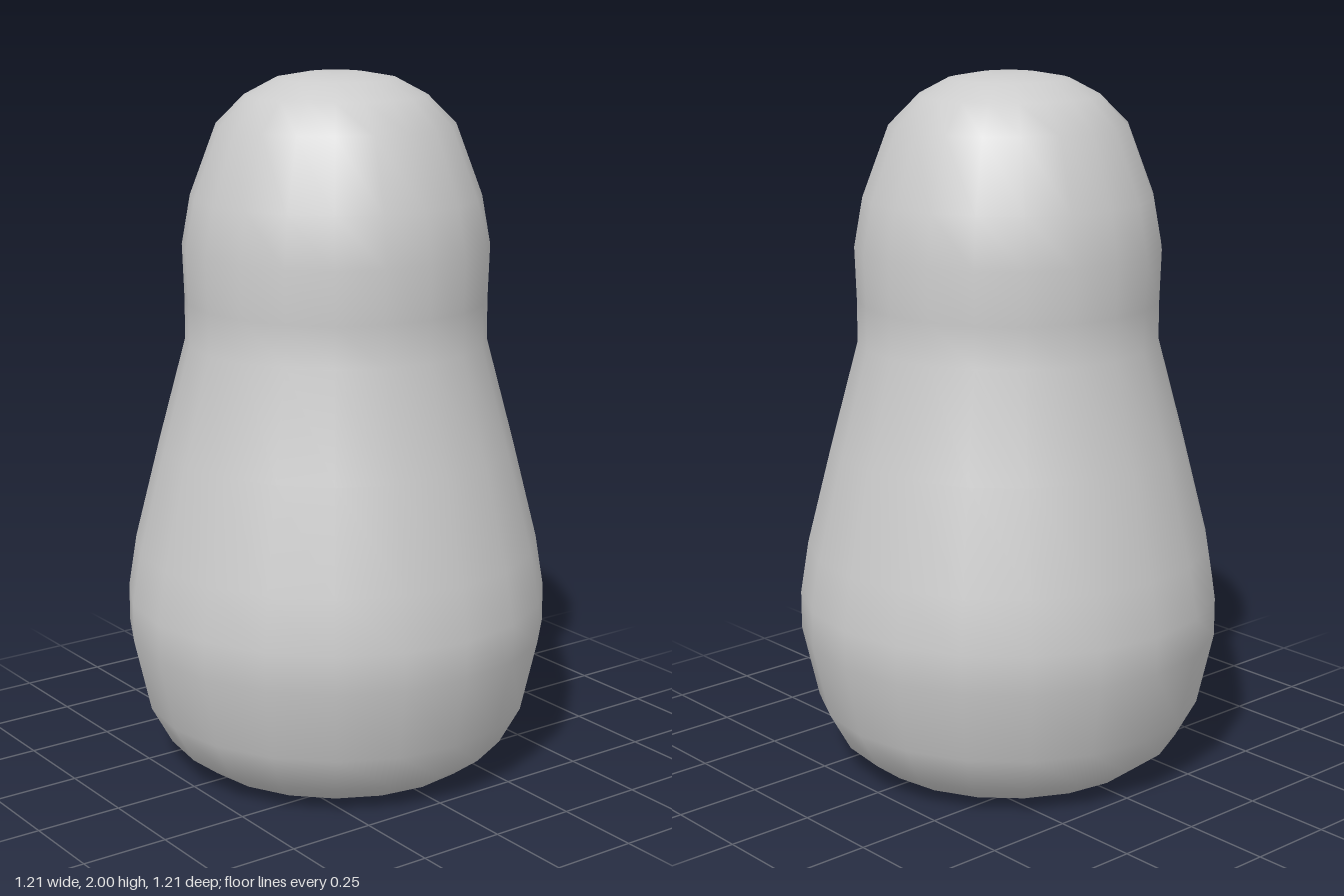
import * as THREE from 'three';

export function createModel() {
  const group = new THREE.Group();
  group.name = 'peg figure';

  // Body and head profile, [radius, height] from base centre to crown
  const profile = [
    [0, 0], [0.33, 0], [0.42, 0.02], [0.5, 0.08], [0.56, 0.19],
    [0.607, 0.4], [0.607, 0.51], [0.583, 0.66], [0.51, 0.95], [0.43, 1.25],
    [0.43, 1.37], [0.435, 1.52], [0.41, 1.66], [0.335, 1.86],
    [0.255, 1.94], [0.17, 1.985], [0.085, 2], [0, 2],
  ].map(([r, y]) => new THREE.Vector2(r, y));

  // Twenty-sided smooth turned body
  const body = new THREE.Mesh(
    new THREE.LatheGeometry(profile, 20),
    new THREE.MeshStandardMaterial({ color: 0xcccccc })
  );
  body.name = 'body';
  group.add(body);

  return group;
}
